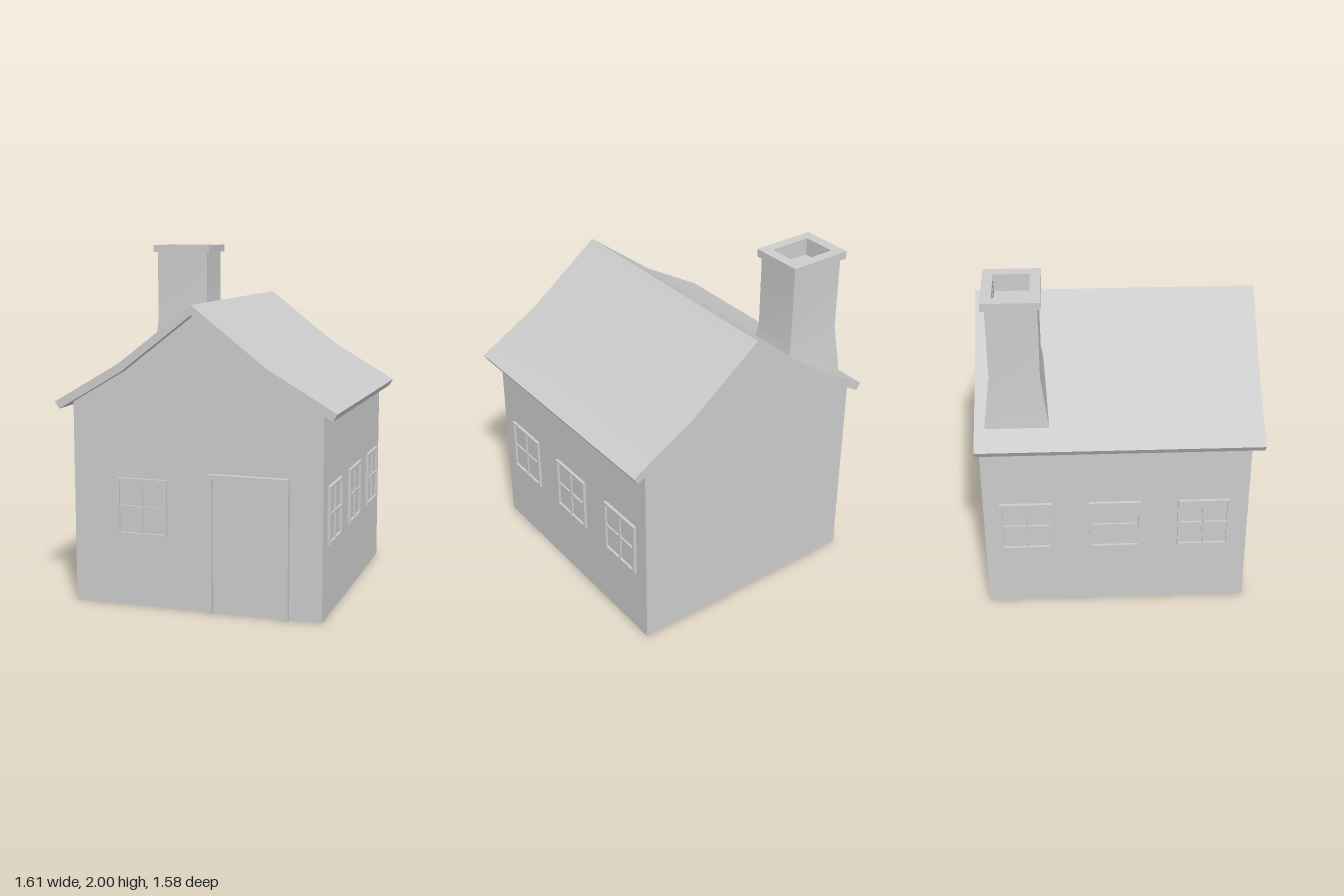
import * as THREE from 'three';
import { toCreasedNormals } from 'three/addons/utils/BufferGeometryUtils.js';

const mat = new THREE.MeshStandardMaterial({ color: 0xcccccc });
const thin = new THREE.MeshStandardMaterial({ color: 0xcccccc, side: THREE.DoubleSide });

const HALF_W = 0.72, FRONT = 0.73, BACK = -0.77, EAVE = 1.147;
const WIN_W = 0.295, WIN_H = 0.325, WIN_Y = 0.568;

function mesh(name, geometry, material = mat) {
  const m = new THREE.Mesh(geometry, material);
  m.name = name;
  return m;
}

function shapeOf(points, Type = THREE.Shape) {
  return new Type(points.map(([x, y]) => new THREE.Vector2(x, y)));
}

const rect = (x0, y0, x1, y1) => [[x0, y0], [x1, y0], [x1, y1], [x0, y1]];
const rectAt = (x, y, w, h) => rect(x - w / 2, y - h / 2, x + w / 2, y + h / 2);

function extrude(shape, depth) {
  return new THREE.ExtrudeGeometry(shape, { depth, bevelEnabled: false });
}

// Frame, pane and crossed bars, facing +z from the wall plane
function makeWindow(x) {
  const g = new THREE.Group();
  g.name = 'window';
  const b = 0.015;
  const frame = shapeOf(rectAt(0, 0, WIN_W, WIN_H));
  frame.holes.push(shapeOf(rectAt(0, 0, WIN_W - 2 * b, WIN_H - 2 * b), THREE.Path));
  const pane = mesh('windowPane', new THREE.PlaneGeometry(WIN_W - b, WIN_H - b), thin);
  pane.position.z = 0.003;
  const upright = mesh('windowBarUpright', new THREE.BoxGeometry(0.013, WIN_H - 2 * b, 0.01));
  const cross = mesh('windowBarCross', new THREE.BoxGeometry(WIN_W - 2 * b, 0.013, 0.01));
  upright.position.z = cross.position.z = 0.008;
  g.add(mesh('windowFrame', extrude(frame, 0.017)), pane, upright, cross);
  g.position.set(x, WIN_Y, 0);
  return g;
}

// Wall sheet with window openings; returns a group facing +z
function makeWall(name, outline, windowXs, extraHoles = []) {
  const g = new THREE.Group();
  g.name = name;
  const s = shapeOf(outline);
  windowXs.forEach(x => {
    s.holes.push(shapeOf(rectAt(x, WIN_Y, WIN_W, WIN_H), THREE.Path));
    g.add(makeWindow(x));
  });
  extraHoles.forEach(h => s.holes.push(shapeOf(h, THREE.Path)));
  g.add(mesh(name + 'Surface', new THREE.ShapeGeometry(s), thin));
  return g;
}

// Door panel inside a raised three-sided frame
function makeDoor() {
  const g = new THREE.Group();
  g.name = 'door';
  const frame = shapeOf([
    [0.075, 0], [0.105, 0], [0.105, 0.755], [0.51, 0.755],
    [0.51, 0], [0.537, 0], [0.537, 0.782], [0.075, 0.782],
  ]);
  const panel = mesh('doorPanel', new THREE.PlaneGeometry(0.405, 0.755), thin);
  panel.position.set(0.3075, 0.3775, 0.006);
  g.add(mesh('doorFrame', extrude(frame, 0.035)), panel);
  return g;
}

// Four-sided tube through rings of corner points
function ringLoft(rings) {
  const pos = [];
  for (let i = 0; i < rings.length - 1; i++) {
    for (let k = 0; k < 4; k++) {
      const n = (k + 1) % 4;
      const a = rings[i][k], b = rings[i][n], c = rings[i + 1][n], d = rings[i + 1][k];
      pos.push(...a, ...b, ...c, ...a, ...c, ...d);
    }
  }
  const geo = new THREE.BufferGeometry();
  geo.setAttribute('position', new THREE.Float32BufferAttribute(pos, 3));
  geo.computeVertexNormals();
  return toCreasedNormals(geo, 0.5);
}

// Corners run counter-clockwise seen from above; the two x ends may differ in height
function ring(x0, y0, hz0, x1, y1, hz1) {
  const z = -0.558;
  return [[x0, y0, z + hz0], [x1, y1, z + hz1], [x1, y1, z - hz1], [x0, y0, z - hz0]];
}

function makeChimney() {
  const g = new THREE.Group();
  g.name = 'chimney';
  const stack = ringLoft([
    ring(-0.682, 1.2, 0.179, -0.306, 1.435, 0.149),
    ring(-0.655, 1.53, 0.136, -0.325, 1.53, 0.136),
    ring(-0.655, 1.96, 0.136, -0.325, 1.96, 0.136),
  ]);
  const capShape = shapeOf(rectAt(0, 0, 0.372, 0.31));
  capShape.holes.push(shapeOf(rectAt(0, 0, 0.25, 0.195), THREE.Path));
  const cap = mesh('chimneyCap', extrude(capShape, 0.045));
  cap.rotation.x = -Math.PI / 2;
  cap.position.set(-0.492, 1.955, -0.56);
  const flue = mesh('chimneyFlue', ringLoft([
    ring(-0.617, 1.9, 0.0975, -0.367, 1.9, 0.0975),
    ring(-0.617, 1.96, 0.0975, -0.367, 1.96, 0.0975),
  ]), thin);
  const floor = mesh('flueFloor', new THREE.PlaneGeometry(0.25, 0.195), thin);
  floor.rotation.x = -Math.PI / 2;
  floor.position.set(-0.492, 1.9, -0.558);
  g.add(mesh('chimneyStack', stack), cap, flue, floor);
  return g;
}

// Bent gable roof, mirrored about the ridge
function makeRoof() {
  const top = [[0.805, 1.15], [0.42, 1.375], [0, 1.7]];
  const under = [[0, 1.645], [0.41, 1.327], [0.78, 1.11]];
  const flip = pts => pts.map(([x, y]) => [-x, y]).reverse();
  const profile = [...top, ...flip(top).slice(1), ...flip(under), ...under.slice(1)];
  const geo = extrude(shapeOf(profile), 1.58);
  geo.translate(0, 0, -0.79);
  return mesh('roof', toCreasedNormals(geo, 0.4));
}

export function createModel() {
  const house = new THREE.Group();
  house.name = 'house';

  // Gable walls
  const gable = [
    [-HALF_W, EAVE], [-0.41, 1.33], [0, 1.65], [0.41, 1.33], [HALF_W, EAVE],
  ];
  const plain = [...gable, [HALF_W, 0], [-HALF_W, 0]];
  const withDoorway = [
    ...gable, [HALF_W, 0], [0.52, 0], [0.52, 0.765], [0.09, 0.765], [0.09, 0], [-HALF_W, 0],
  ];
  const front = makeWall('frontWall', withDoorway, [-0.312]);
  front.add(makeDoor());
  front.position.z = FRONT;
  const back = makeWall('backWall', plain, []);
  back.rotation.y = Math.PI;
  back.position.z = BACK;
  house.add(front, back);

  // Side walls with three windows each
  for (const side of [1, -1]) {
    const zs = [0.478, -0.027, -0.53].map(z => -side * z);
    const [a, b] = [-side * FRONT, -side * BACK].sort((p, q) => p - q);
    const wall = makeWall(side > 0 ? 'leftWall' : 'rightWall', rect(a, 0, b, EAVE), zs);
    wall.rotation.y = side * Math.PI / 2;
    wall.position.x = side * HALF_W;
    house.add(wall);
  }

  house.add(makeRoof(), makeChimney());
  return house;
}
